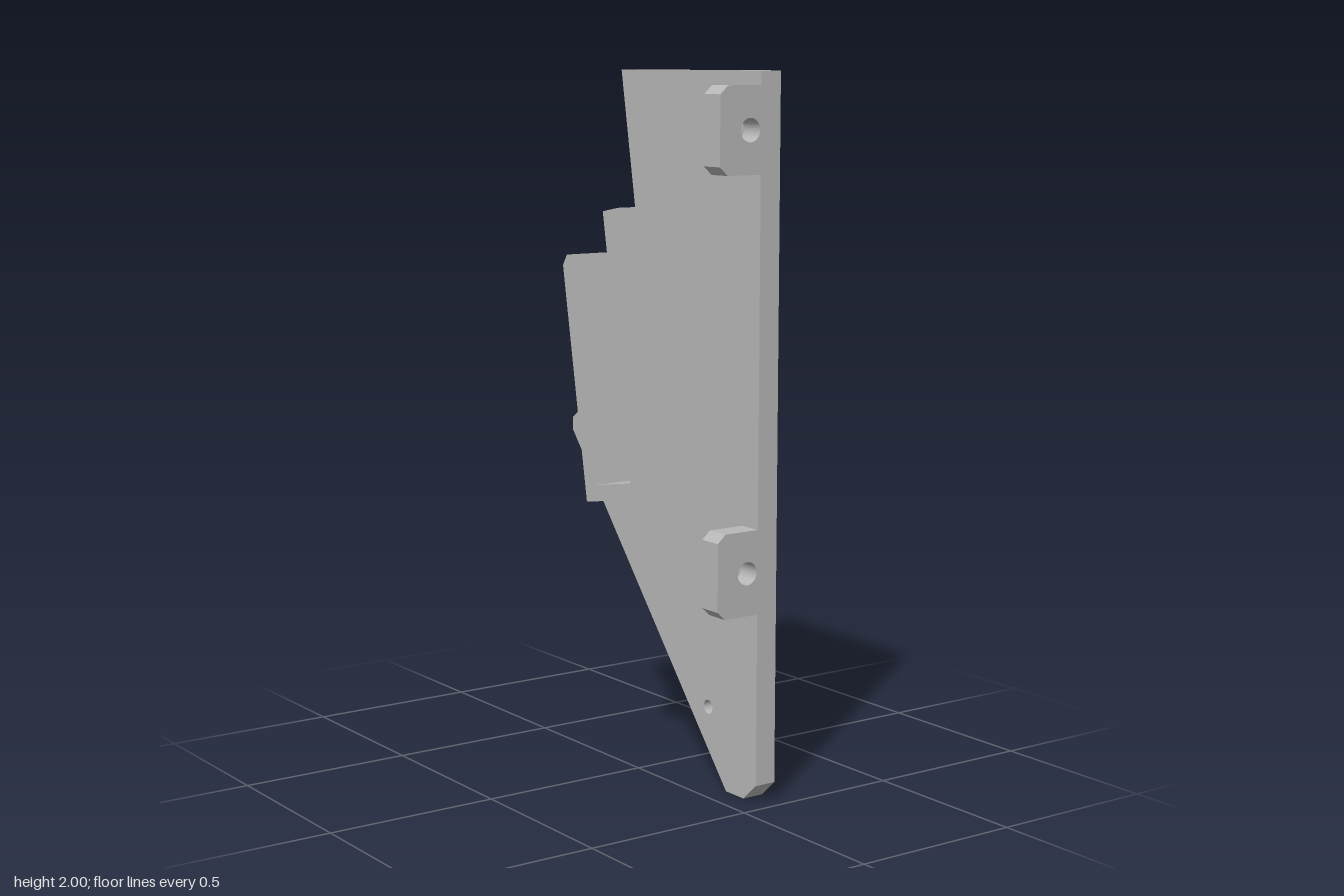
import * as THREE from 'three';

const grey = new THREE.MeshStandardMaterial({ color: 0xb8b8b8 });
grey.name = 'plain grey';

// Closed outline from a list of points
function outline(points) {
  return new THREE.Shape(points.map(([u, v]) => new THREE.Vector2(u, v)));
}

function circle(u, v, r) {
  return new THREE.Path().absarc(u, v, r, 0, Math.PI * 2, true);
}

function extrude(shape, depth) {
  return new THREE.ExtrudeGeometry(shape, { depth, bevelEnabled: false, curveSegments: 24 });
}

// Side profile in (z, y), extruded across x0..x1
function sidePart(name, shape, x0, x1) {
  const geo = extrude(shape, x1 - x0).rotateY(-Math.PI / 2).translate(x1, 0, 0);
  const mesh = new THREE.Mesh(geo, grey);
  mesh.name = name;
  return mesh;
}

const plateOutline = [
  [0.455, 0.05], [0.455, 2], [-0.19, 2], [-0.102, 1.49], [-0.145, 1.485], [-0.167, 1.455],
  [-0.105, 1.11], [-0.37, 1.025], [-0.45, 0.965], [-0.45, 0.93], [0.32, 0], [0.4, 0],
];
const screws = [[-0.25, 0.805], [0.235, 0.225]];
const pocketRim = [[0.36, 1.87], [0.065, 1.87], [0.212, 0.975], [0.36, 0.975]];
const pocketFloor = [[0.351, 1.861], [0.076, 1.861], [0.205, 0.984], [0.351, 0.984]];

// One layer of the side plate with its screw holes
function plateLayer(name, x0, x1, holeRadius, pocket) {
  const shape = outline(plateOutline);
  for (const [z, y] of screws) shape.holes.push(circle(z, y, holeRadius));
  if (pocket) shape.holes.push(new THREE.Path(pocket.map(([z, y]) => new THREE.Vector2(z, y))));
  return sidePart(name, shape, x0, x1);
}

// Sloped walls around the shallow pocket
function pocketWalls(xRim, xFloor) {
  const pos = [];
  for (let i = 0; i < 4; i++) {
    const j = (i + 1) % 4;
    const at = (ring, k, x) => [x, ring[k][1], ring[k][0]];
    const o0 = at(pocketRim, i, xRim), o1 = at(pocketRim, j, xRim);
    const n0 = at(pocketFloor, i, xFloor), n1 = at(pocketFloor, j, xFloor);
    pos.push(...o0, ...n0, ...n1, ...o0, ...n1, ...o1);
  }
  const geo = new THREE.BufferGeometry();
  geo.setAttribute('position', new THREE.Float32BufferAttribute(pos, 3));
  geo.computeVertexNormals();
  const mesh = new THREE.Mesh(geo, grey);
  mesh.name = 'pocketWalls';
  return mesh;
}

// Mounting tab with clipped corners and a bolt hole
function mountingTab(name, y) {
  const shape = outline([
    [0.075, y], [0.075, y + 0.235], [-0.035, y + 0.235], [-0.06, y + 0.212],
    [-0.06, y + 0.023], [-0.035, y],
  ]);
  shape.holes.push(circle(0.04, y + 0.118, 0.032));
  const mesh = new THREE.Mesh(extrude(shape, 0.07).translate(0, 0, 0.385), grey);
  mesh.name = name;
  return mesh;
}

export function createModel() {
  const model = new THREE.Group();
  model.name = 'sideBracket';

  // Side plate: narrow holes inside, counterbores and pocket outside
  const plate = new THREE.Group();
  plate.name = 'sidePlate';
  plate.add(
    plateLayer('plateInner', 0.075, 0.105, 0.02),
    plateLayer('plateMiddle', 0.105, 0.128, 0.035),
    plateLayer('plateOuter', 0.128, 0.14, 0.035, pocketRim),
    pocketWalls(0.14, 0.128),
  );
  model.add(plate);

  // Tilted channel: rear slab and floor shared by both sections
  const trough = [
    [0.163, 0.877], [-0.014, 0.846], [-0.125, 1.488], [-0.148, 1.485],
    [-0.167, 1.455], [-0.05, 0.793],
  ];
  // Section beside the plate, with the tall rib
  const tall = [...trough, [0.243, 0.845], [0.04, 2], [-0.035, 2]];
  // Outer section, with the short wall and its lower lip
  const short = [...trough, [0.12, 0.823], [0.266, 0.72], [0.105, 1.63], [0.033, 1.617]];
  model.add(
    sidePart('channelWithRib', outline(tall), -0.028, 0.075),
    sidePart('channelWithLip', outline(short), -0.143, -0.028),
  );

  // Front tabs
  model.add(mountingTab('lowerTab', 0.535), mountingTab('upperTab', 1.727));
  return model;
}
